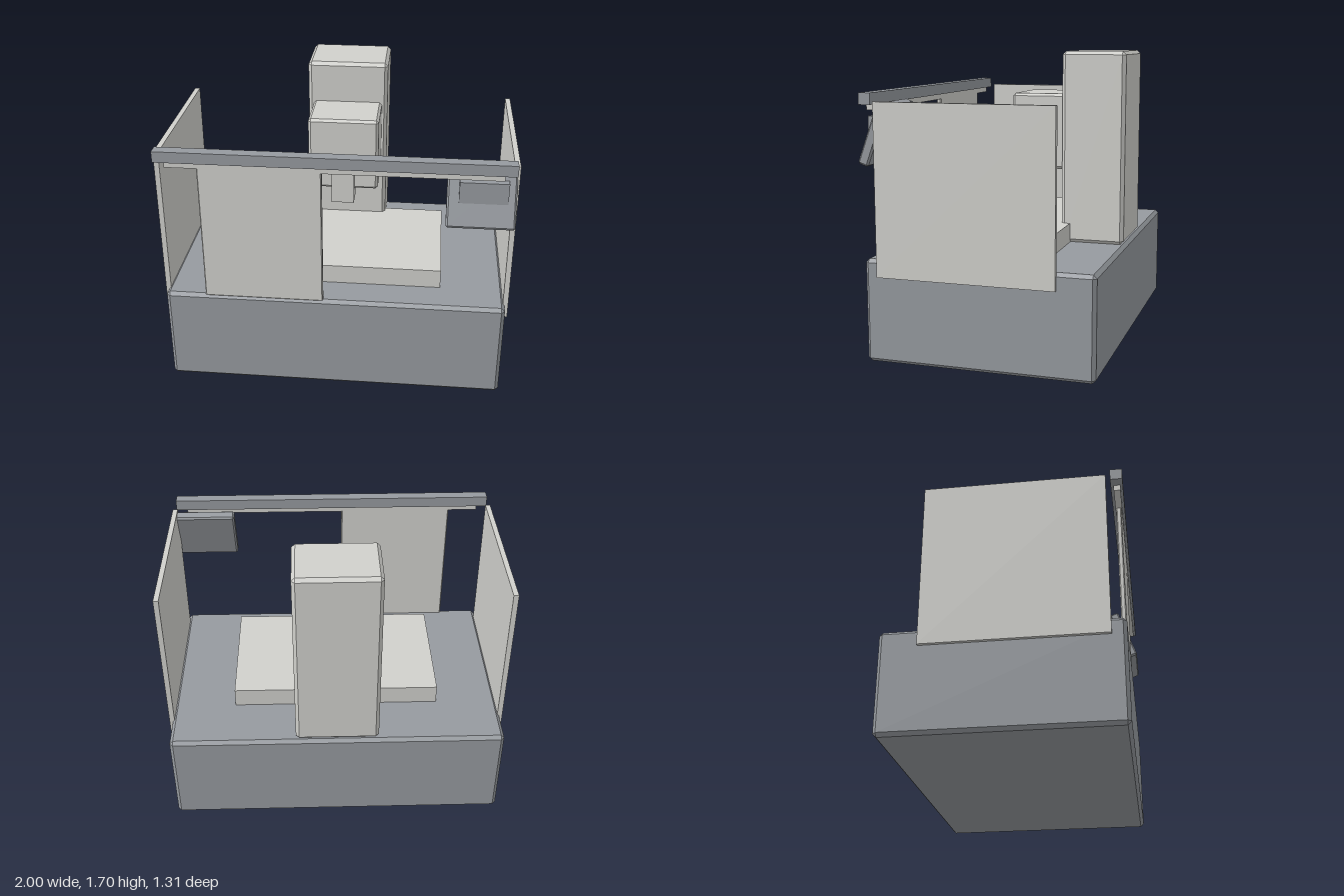
import * as THREE from 'three';
import { ConvexGeometry } from 'three/addons/geometries/ConvexGeometry.js';

// Box with every edge cut flat by c: three corner points at each of the eight corners
function chamferBox(w, h, d, c) {
  const points = [];
  for (const x of [-1, 1]) for (const y of [-1, 1]) for (const z of [-1, 1]) {
    for (const [a, b, e] of [[0, c, c], [c, 0, c], [c, c, 0]]) {
      points.push(new THREE.Vector3(x * (w / 2 - a), y * (h / 2 - b), z * (d / 2 - e)));
    }
  }
  return new ConvexGeometry(points);
}

export function createModel() {
  const group = new THREE.Group();
  const lightGrey = new THREE.MeshStandardMaterial({ color: 0xd0d0cc });
  lightGrey.name = 'lightGrey';
  const slateGrey = new THREE.MeshStandardMaterial({ color: 0x969a9f });
  slateGrey.name = 'slateGrey';

  // Adds a box spanning the given ranges, chamfered when c is set
  function addBox(name, material, [x0, x1], [y0, y1], [z0, z1], c = 0) {
    const size = [x1 - x0, y1 - y0, z1 - z0];
    const geometry = c ? chamferBox(...size, c) : new THREE.BoxGeometry(...size);
    const mesh = new THREE.Mesh(geometry, material);
    mesh.name = name;
    mesh.position.set((x0 + x1) / 2, (y0 + y1) / 2, (z0 + z1) / 2);
    group.add(mesh);
    return mesh;
  }

  // Machine bed and work table
  addBox('base', slateGrey, [-0.98, 0.98], [0, 0.582], [-0.657, 0.639], 0.02);
  addBox('workTable', lightGrey, [-0.61, 0.61], [0.57, 0.695], [-0.327, 0.432]);

  // Column with spindle head
  addBox('column', lightGrey, [-0.243, 0.243], [0.582, 1.7], [-0.645, -0.273], 0.02);
  addBox('spindleHead', lightGrey, [-0.21, 0.21], [1.01, 1.453], [-0.33, 0.036], 0.015);
  addBox('spindle', lightGrey, [-0.068, 0.068], [0.93, 1.18], [-0.07, 0.07]);

  // Side panels
  for (const [name, side] of [['leftPanel', 1], ['rightPanel', -1]]) {
    const xs = side > 0 ? [0.97, 1] : [-1, -0.97];
    addBox(name, lightGrey, xs, [0.487, 1.442], [-0.445, 0.56]);
  }

  // Top rail, door track and sliding door
  addBox('topRail', slateGrey, [-0.98, 0.98], [1.423, 1.487], [0.584, 0.651]);
  addBox('doorTrack', lightGrey, [-0.92, 0.915], [1.39, 1.423], [0.6, 0.637]);
  addBox('slidingDoor', lightGrey, [-0.745, -0.06], [0.575, 1.4], [0.603, 0.633], 0.006);

  // Tilted control panel with an upright screen housing
  const control = addBox('controlPanel', slateGrey, [0.615, 0.99], [1.089, 1.439], [0.541, 0.603], 0.01);
  control.position.set(0.8025, 1.264, 0.572);
  control.rotation.x = -0.35;
  addBox('controlScreen', slateGrey, [0.68, 0.945], [1.22, 1.362], [0.57, 0.614]);

  return group;
}
